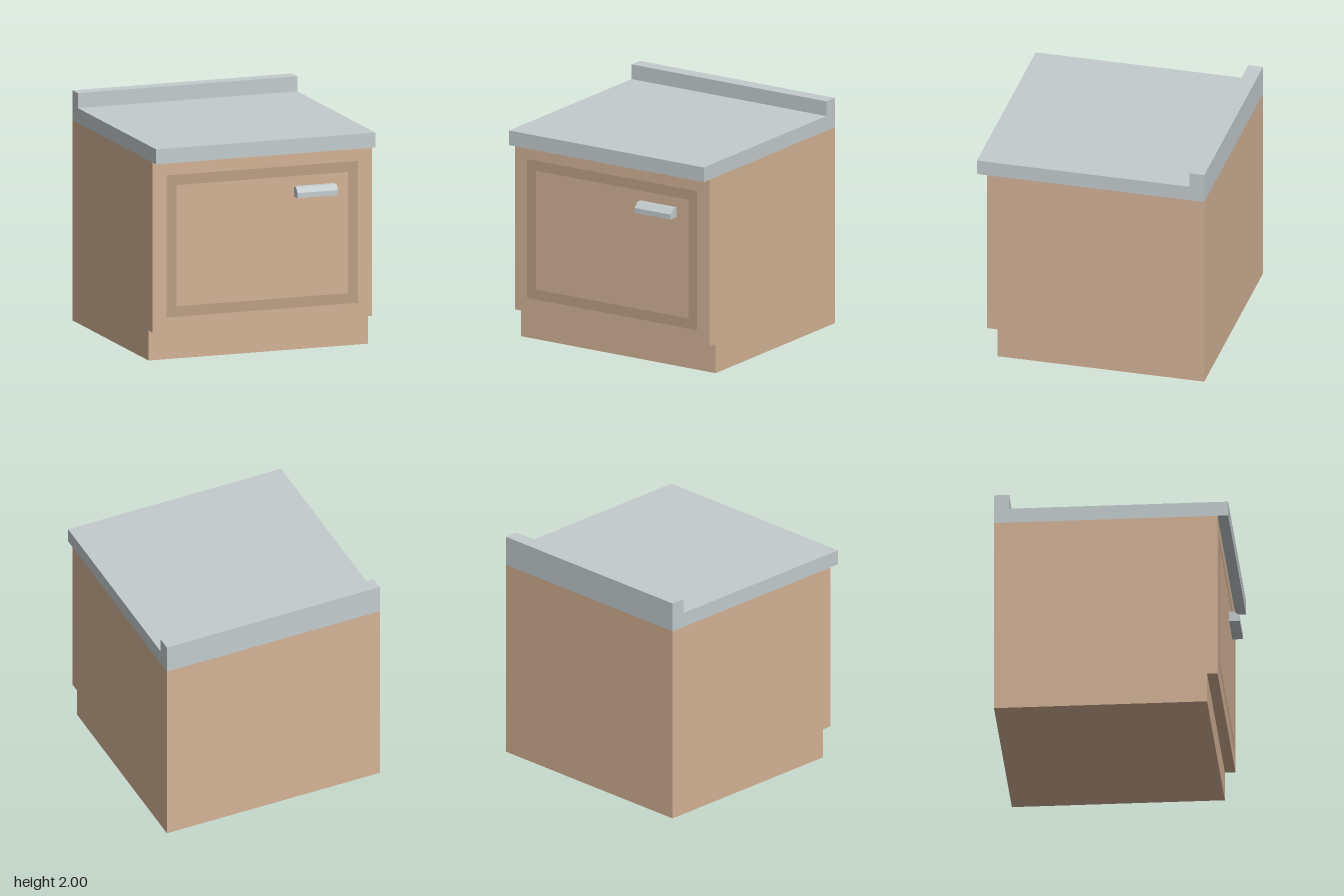
import * as THREE from 'three';

const wood = new THREE.MeshStandardMaterial({ color: 0xd3b295 });
const darkWood = new THREE.MeshStandardMaterial({ color: 0xbc9e85 });
const stone = new THREE.MeshStandardMaterial({ color: 0xc3cbcd });

// Side profile given as [z, y] points, swept along x from x0 to x1
function sweep(name, profile, x0, x1, material) {
  const shape = new THREE.Shape(profile.map(([z, y]) => new THREE.Vector2(z, y)));
  const geometry = new THREE.ExtrudeGeometry(shape, { depth: x1 - x0, bevelEnabled: false });
  geometry.rotateY(-Math.PI / 2).translate(x1, 0, 0);
  const mesh = new THREE.Mesh(geometry, material);
  mesh.name = name;
  return mesh;
}

// Corners of a rectangle as 2D points
function rectangle(x, y0, y1) {
  return [[-x, y0], [x, y0], [x, y1], [-x, y1]].map(([a, b]) => new THREE.Vector2(a, b));
}

export function createModel() {
  const group = new THREE.Group();
  group.name = 'kitchenCabinet';

  // Cabinet with a recessed toe kick
  group.add(sweep('cabinetBody', [
    [-1, 0], [0.82, 0], [0.82, 0.26], [0.91, 0.26], [0.91, 1.74], [-1, 1.74],
  ], -1, 1, wood));

  // Worktop with an upstand along the back
  group.add(sweep('worktop', [
    [-1, 1.74], [1, 1.74], [1, 1.87], [-0.87, 1.87], [-0.87, 2], [-1, 2],
  ], -1, 1, stone));

  // Dark inlaid border on the door
  const border = new THREE.Shape(rectangle(0.873, 0.383, 1.617));
  border.holes.push(new THREE.Path(rectangle(0.783, 0.473, 1.527)));
  const doorBorder = new THREE.Mesh(new THREE.ShapeGeometry(border), darkWood);
  doorBorder.name = 'doorBorder';
  doorBorder.position.z = 0.913;
  group.add(doorBorder);

  // Handle with a chamfered upper front edge
  group.add(sweep('handle', [
    [0.91, 1.35], [1, 1.35], [1, 1.395], [0.957, 1.44], [0.91, 1.44],
  ], 0.29, 0.66, stone));

  return group;
}
